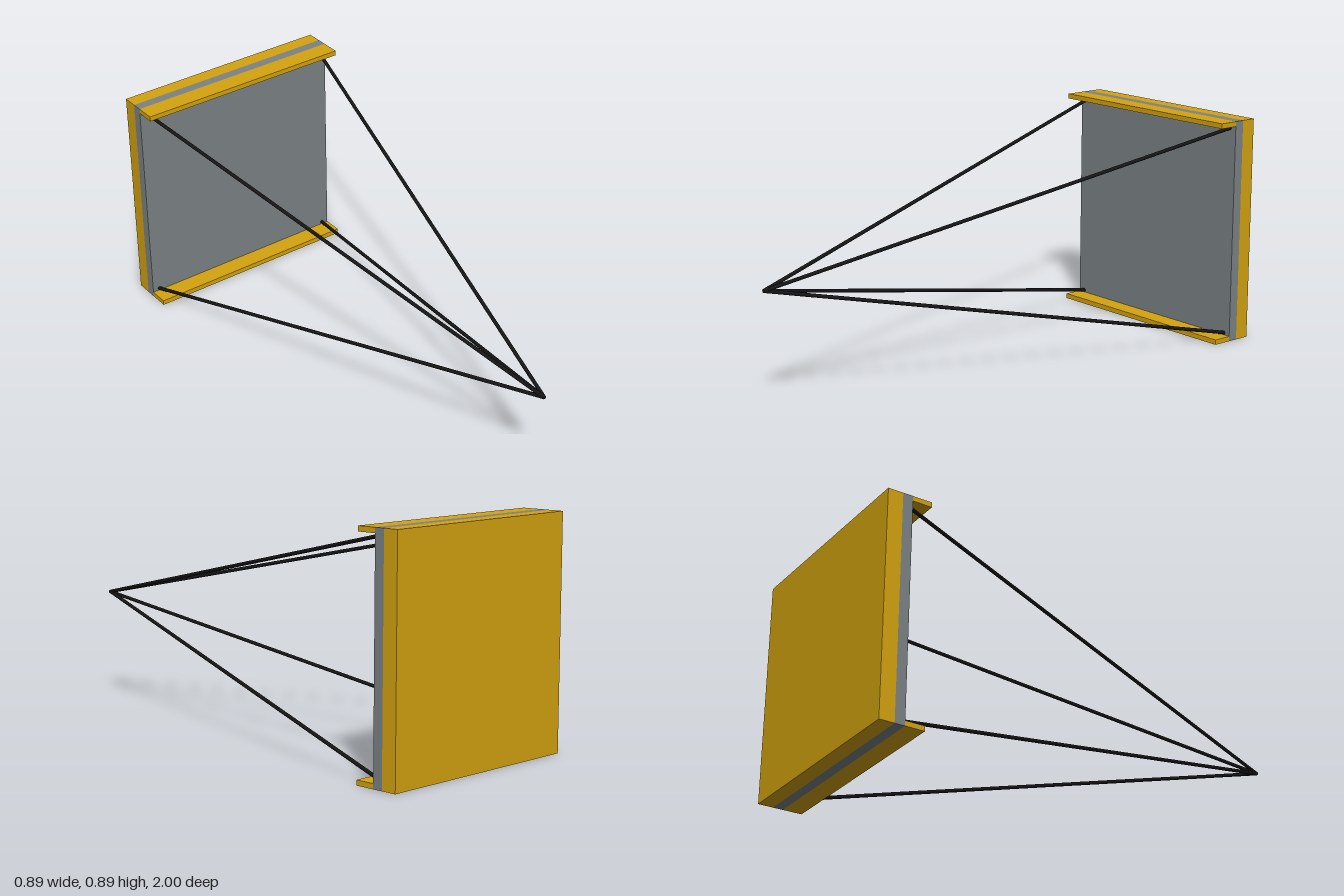
import * as THREE from 'three';

const W = 0.89; // width and height of the square panel

export function createModel() {
  const model = new THREE.Group();
  const yellow = new THREE.MeshStandardMaterial({ color: 0xd4a410 });
  yellow.name = 'yellow';
  const grey = new THREE.MeshStandardMaterial({ color: 0x7c8385 });
  grey.name = 'grey';
  const black = new THREE.MeshStandardMaterial({ color: 0x151515 });
  black.name = 'black';

  // box spanning the full panel width between the given y and z limits
  const slab = (name, material, y0, y1, z0, z1) => {
    const mesh = new THREE.Mesh(new THREE.BoxGeometry(W, y1 - y0, z1 - z0), material);
    mesh.position.set(0, (y0 + y1) / 2, (z0 + z1) / 2);
    mesh.name = name;
    model.add(mesh);
  };
  slab('backPanel', yellow, 0, W, -1, -0.94);
  slab('frontPlate', grey, 0, W, -0.94, -0.9);
  slab('bottomLip', yellow, 0, 0.02, -0.9, -0.823);
  slab('topLip', yellow, W - 0.02, W, -0.9, -0.823);

  // four rods from the plate corners to a common point in front
  const tip = new THREE.Vector3(0, W / 2, 0.999);
  const up = new THREE.Vector3(0, 1, 0);
  for (const sx of [-1, 1]) {
    for (const sy of [-1, 1]) {
      const foot = new THREE.Vector3(sx * 0.416, W / 2 + sy * 0.416, -0.902);
      const along = tip.clone().sub(foot);
      const rod = new THREE.Mesh(new THREE.CylinderGeometry(0.007, 0.007, along.length(), 16), black);
      rod.position.copy(foot).add(tip).multiplyScalar(0.5);
      rod.quaternion.setFromUnitVectors(up, along.normalize());
      rod.name = (sy > 0 ? 'upper' : 'lower') + (sx > 0 ? 'Left' : 'Right') + 'Rod';
      model.add(rod);
    }
  }
  return model;
}
